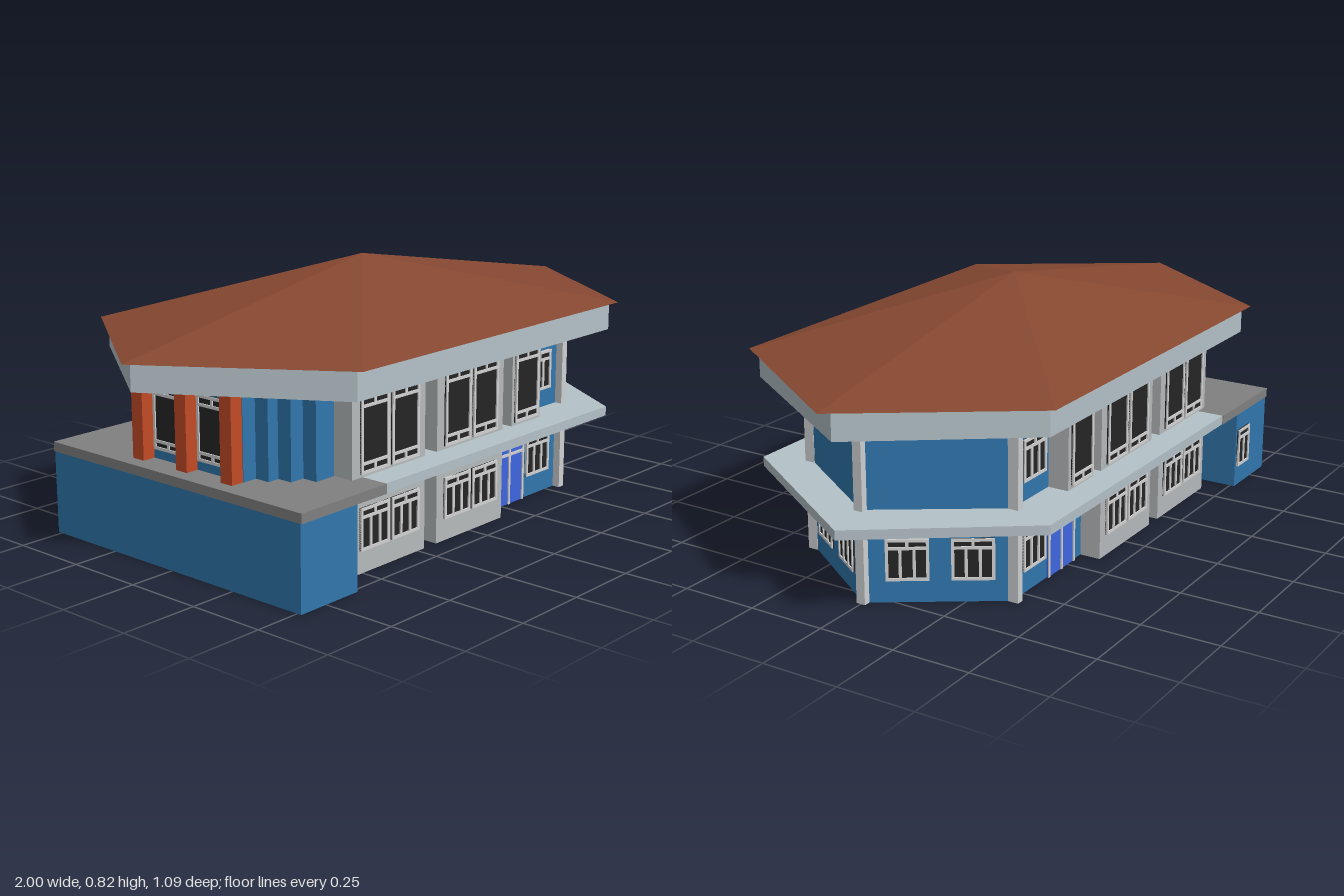
import * as THREE from 'three';

const mat = (name, color) => {
  const m = new THREE.MeshStandardMaterial({ color });
  m.name = name;
  return m;
};

export function createModel() {
  const wallBlue = mat('wall blue', 0x3076ac);
  const doorBlue = mat('door blue', 0x3f66e0);
  const roofBrown = mat('roof brown', 0x864831);
  const fasciaGrey = mat('fascia grey', 0xb4c1c8);
  const panelGrey = mat('panel grey', 0xb6babc);
  const columnGrey = mat('column grey', 0xcdd0d2);
  const slabGrey = mat('slab grey', 0x808080);
  const columnOrange = mat('column orange', 0xc24b26);
  const glassBlack = mat('glass black', 0x252525);
  const frameWhite = mat('frame white', 0xd2d2d2);

  const model = new THREE.Group();
  model.name = 'house';

  const add = (name, geo, material, parent = model) => {
    const mesh = new THREE.Mesh(geo, material);
    mesh.name = name;
    parent.add(mesh);
    return mesh;
  };
  // Box from its min and max corners
  const box = (name, material, x0, x1, y0, y1, z0, z1, parent) => {
    const mesh = add(name, new THREE.BoxGeometry(x1 - x0, y1 - y0, z1 - z0), material, parent);
    mesh.position.set((x0 + x1) / 2, (y0 + y1) / 2, (z0 + z1) / 2);
    return mesh;
  };
  // Vertical prism over a plan of [x, z] points
  const prism = (name, material, plan, y0, y1) => {
    const shape = new THREE.Shape(plan.map(([x, z]) => new THREE.Vector2(x, -z)));
    const geo = new THREE.ExtrudeGeometry(shape, { depth: y1 - y0, bevelEnabled: false });
    geo.rotateX(-Math.PI / 2).translate(0, y0, 0);
    return add(name, geo, material);
  };
  // Window or door facing local +z: back plate, border, and bars [x0, x1, y0, y1] in 0..1
  const opening = (name, pane, w, h, bars, x, y, z, turn) => {
    const g = new THREE.Group();
    g.name = name;
    box('pane', pane, -w / 2, w / 2, 0, h, 0, 0.004, g);
    const t = 0.009;
    const bar = (x0, x1, y0, y1) => box('frame', frameWhite, x0, x1, y0, y1, 0, 0.008, g);
    bar(-w / 2, -w / 2 + t, 0, h);
    bar(w / 2 - t, w / 2, 0, h);
    bar(-w / 2 + t, w / 2 - t, h - t, h);
    if (pane !== doorBlue) bar(-w / 2 + t, w / 2 - t, 0, t);
    for (const [u0, u1, v0, v1] of bars) {
      const bx = (u0 - 0.5) * w, by = v0 * h;
      if (u0 === u1) bar(bx - t / 2, bx + t / 2, by, v1 * h);
      else bar(bx, (u1 - 0.5) * w, by - t / 2, by + t / 2);
    }
    g.position.set(x, y, z);
    g.rotation.y = turn;
    model.add(g);
  };
  const smallBars = [[0.05, 0.95, 0.78, 0.78], [0.34, 0.34, 0, 0.78], [0.66, 0.66, 0, 0.78], [0.5, 0.5, 0.78, 1]];
  const tallBars = [[0.05, 0.95, 0.85, 0.85], [0.05, 0.95, 0.13, 0.13], [0.5, 0.5, 0.85, 1], [0.5, 0.5, 0, 0.13]];
  const doorBars = [[0.5, 0.5, 0, 1], [0.05, 0.95, 0.84, 0.84]];

  // Ground floor and left wing
  const front = 0.36;
  prism('groundFloorWalls', wallBlue,
    [[-0.62, front], [0.56, front], [0.8, 0], [0.56, -front], [-0.62, -front]], 0, 0.26);
  box('leftWing', wallBlue, -0.85, -0.62, 0, 0.26, -0.515, 0.515);
  box('leftWingRoof', slabGrey, -0.85, -0.5, 0.26, 0.29, -0.52, 0.52);

  // Upper floor, stepping inward toward the left end
  const steps = [[-0.62, 0.36], [-0.62, 0.31], [-0.67, 0.31], [-0.67, 0.26], [-0.71, 0.26], [-0.71, 0.21], [-0.76, 0.21]];
  prism('upperFloorWalls', wallBlue, [
    [0.56, -front], ...steps.map(([x, z]) => [x, -z]),
    ...steps.slice().reverse(), [0.56, front], [0.8, 0],
  ], 0.29, 0.55);

  // Balcony slab, eaves box and hipped roof
  prism('balconySlab', fasciaGrey,
    [[-0.5, 0.517], [0.61, 0.517], [0.96, -0.03], [0.61, -0.517], [-0.5, -0.517]], 0.26, 0.29);
  prism('eavesFascia', fasciaGrey,
    [[-0.62, 0.515], [0.61, 0.515], [0.96, -0.03], [0.61, -0.515], [-0.62, -0.515], [-0.957, -0.03]], 0.55, 0.64);
  const rim = [[-0.625, 0.54], [0.625, 0.54], [1, -0.015], [0.635, -0.545], [-0.625, -0.545], [-1, -0.015]];
  const faces = [];
  rim.forEach(([x, z], i) => {
    const [nx, nz] = rim[(i + 1) % rim.length];
    faces.push(x, 0.64, z, nx, 0.64, nz, 0, 0.82, -0.015);
    faces.push(nx, 0.64, nz, x, 0.64, z, 0, 0.64, -0.015);
  });
  const roofGeo = new THREE.BufferGeometry();
  roofGeo.setAttribute('position', new THREE.Float32BufferAttribute(faces, 3));
  roofGeo.computeVertexNormals();
  add('roof', roofGeo, roofBrown);

  // Front and back facades are mirror images
  for (const s of [1, -1]) {
    const turn = s > 0 ? 0 : Math.PI;
    const panel = (x0, x1, y0, y1) =>
      box('facadePanel', panelGrey, x0, x1, y0, y1, s > 0 ? front : -0.428, s > 0 ? 0.428 : -front);
    const small = (x, y, z) => opening('smallWindow', glassBlack, 0.125, 0.13, smallBars, x, y, s * z, turn);
    const tall = (x) => opening('tallWindow', glassBlack, 0.122, 0.235, tallBars, x, 0.3, s * 0.428, turn);

    for (const [x0, x1] of [[-0.545, -0.22], [-0.163, 0.163]]) {
      panel(x0, x1, 0, 0.26);
      panel(x0, x1, 0.29, 0.55);
      const mid = (x0 + x1) / 2;
      for (const dx of [-0.068, 0.068]) {
        small(mid + dx, 0.07, 0.428);
        tall(mid + dx);
      }
    }
    panel(0.21, 0.36, 0.29, 0.55);
    tall(0.283);
    small(0.443, 0.35, front);
    small(0.443, 0.07, front);
    opening('door', doorBlue, 0.155, 0.2, doorBars, 0.288, 0, s * front, turn);

    // Corner columns and windows on the angled right walls
    for (const [y0, y1] of [[0, 0.26], [0.29, 0.55]]) {
      box('cornerColumn', columnGrey, 0.543, 0.568, y0, y1, s > 0 ? 0.35 : -0.385, s > 0 ? 0.385 : -0.35);
    }
    const angle = Math.atan2(0.36, 0.24);
    for (const t of [0.26, 0.7]) {
      opening('sideWindow', glassBlack, 0.127, 0.13, smallBars,
        0.56 + 0.24 * t, 0.07, s * front * (1 - t), s > 0 ? angle : Math.PI - angle);
    }
    // Windows between the left columns
    opening('leftWindow', glassBlack, 0.125, 0.2, tallBars, -0.76, 0.32, s * 0.093, -Math.PI / 2);
  }

  // Column at the right tip
  for (const [y0, y1] of [[0, 0.26], [0.29, 0.55]]) {
    box('tipColumn', columnGrey, 0.785, 0.812, y0, y1, -0.015, 0.015);
  }
  // Orange columns on the left end
  for (const z of [-0.185, 0, 0.185]) {
    box('leftColumn', columnOrange, -0.803, -0.757, 0.29, 0.55, z - 0.023, z + 0.023);
  }
  // Narrow window at the back of the left wing
  opening('wingWindow', glassBlack, 0.085, 0.13, [[0.05, 0.95, 0.78, 0.78], [0.5, 0.5, 0, 0.78]],
    -0.672, 0.07, -0.515, Math.PI);

  return model;
}
